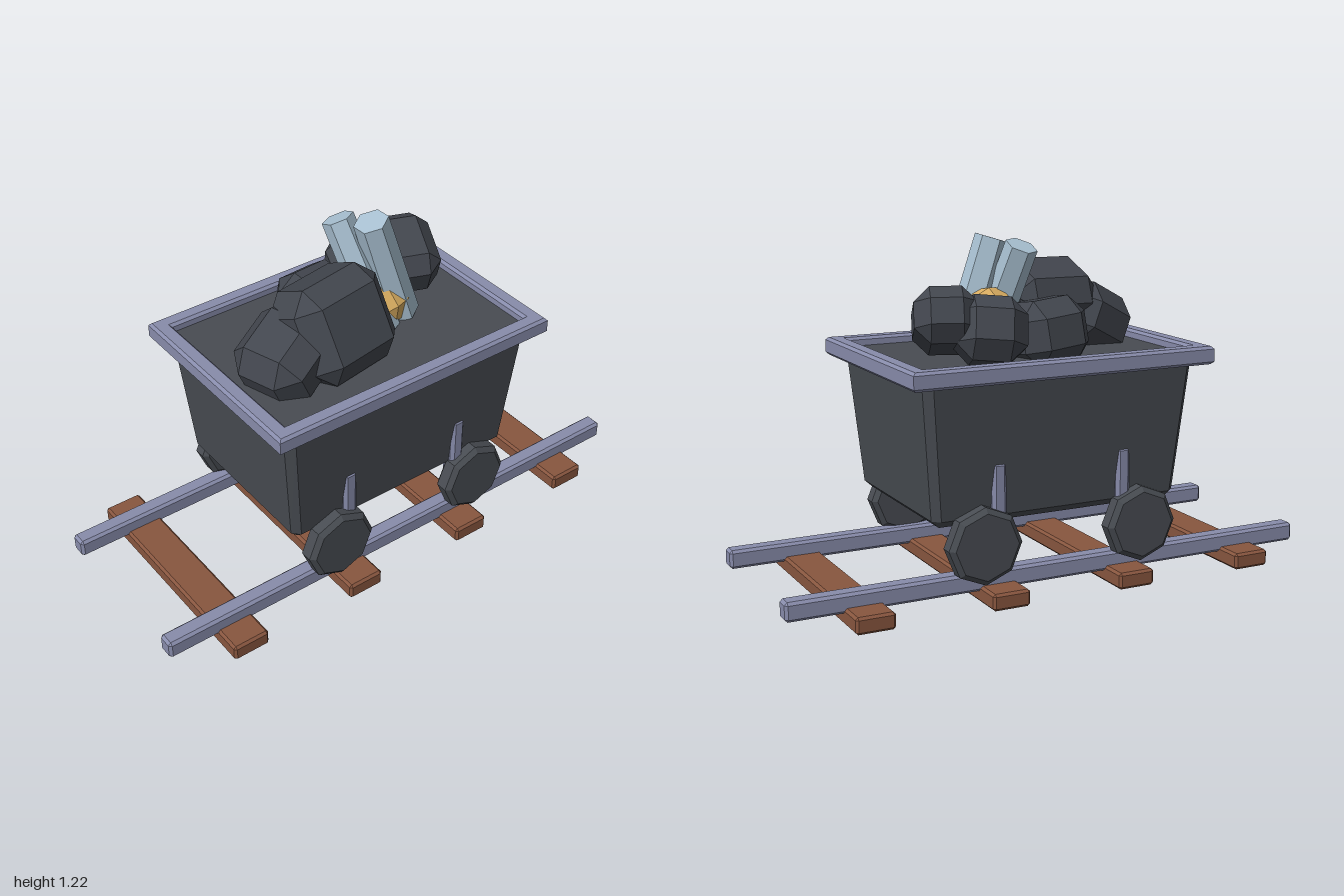
import * as THREE from 'three';
import { ConvexGeometry } from 'three/addons/geometries/ConvexGeometry.js';

const mat = (name, color) => {
  const m = new THREE.MeshStandardMaterial({ color });
  m.name = name;
  return m;
};

// Box with cut edges and corners; the optional shape rule moves each corner point
function chamferBox(w, h, d, c, rule) {
  const points = [];
  for (const sx of [-1, 1]) for (const sy of [-1, 1]) for (const sz of [-1, 1]) {
    const x = w / 2, y = h / 2, z = d / 2;
    points.push(
      new THREE.Vector3(sx * x, sy * (y - c), sz * (z - c)),
      new THREE.Vector3(sx * (x - c), sy * y, sz * (z - c)),
      new THREE.Vector3(sx * (x - c), sy * (y - c), sz * z));
  }
  if (rule) points.forEach(rule);
  return new ConvexGeometry(points);
}

export function createModel() {
  const model = new THREE.Group();
  model.name = 'mineCart';
  const wood = mat('wood', 0x88563f);
  const steel = mat('steel', 0x888cab);
  const iron = mat('darkIron', 0x484c52);
  const coal = mat('coal', 0x42464e);
  const crystal = mat('crystal', 0xa9c1d2);
  const gold = mat('gold', 0xd8ac60);

  const add = (name, geometry, material, pos, rot = [0, 0, 0]) => {
    const mesh = new THREE.Mesh(geometry, material);
    mesh.name = name;
    mesh.position.set(...pos);
    mesh.rotation.set(rot[0], rot[1], rot[2], 'YXZ');
    model.add(mesh);
    return mesh;
  };

  // Track
  for (const x of [-0.74, -0.25, 0.24, 0.73])
    add('sleeper', chamferBox(0.14, 0.06, 0.89, 0.009), wood, [x, 0.03, 0]);
  for (const s of [-1, 1])
    add('rail', chamferBox(2, 0.068, 0.066, 0.01), steel, [0, 0.075, s * 0.307]);

  // Tapered tub
  const tub = chamferBox(0.944, 0.51, 0.656, 0.026, (p) => {
    const t = (p.y + 0.255) / 0.51;
    p.x *= 1 + 0.1 * t;
    p.z *= 1 + 0.135 * t;
  });
  add('tub', tub, iron, [0, 0.53, 0]);
  add('loadBed', new THREE.BoxGeometry(1.05, 0.04, 0.72), iron, [0, 0.778, 0]);

  // Rim frame
  const rect = (Type, x, z) => new Type([[-x, -z], [x, -z], [x, z], [-x, z]].map((p) => new THREE.Vector2(...p)));
  const frame = rect(THREE.Shape, 0.565, 0.4);
  frame.holes.push(rect(THREE.Path, 0.523, 0.358));
  const rim = new THREE.ExtrudeGeometry(frame, {
    depth: 0.045, bevelEnabled: true, bevelThickness: 0.01, bevelSize: 0.01, bevelSegments: 1,
  });
  rim.rotateX(-Math.PI / 2);
  add('rim', rim, steel, [0, 0.775, 0]);

  // Eight-sided wheels with bevelled edges, and their brackets
  const profile = [[0, -0.038], [0.118, -0.038], [0.137, -0.022], [0.137, 0.022], [0.118, 0.038], [0, 0.038]];
  const wheel = new THREE.LatheGeometry(profile.map((p) => new THREE.Vector2(...p)), 8).toNonIndexed();
  wheel.rotateX(Math.PI / 2);
  wheel.computeVertexNormals();
  for (const s of [-1, 1]) {
    for (const x of [-0.308, 0.303]) add('wheel', wheel, iron, [x, 0.208, s * 0.348]);
    for (const x of [-0.247, 0.238])
      add('wheelBracket', chamferBox(0.055, 0.25, 0.06, 0.012), steel, [x, 0.362, s * 0.32]);
  }

  // Coal lumps: size, chamfer, position, rotation
  const lumps = [
    [[0.38, 0.35, 0.28], 0.07, [-0.14, 0.93, 0.1], [-0.46, 0.13, 0.03]],
    [[0.31, 0.24, 0.29], 0.07, [-0.33, 0.88, 0.09], [0, 0.3, 0.45]],
    [[0.28, 0.24, 0.24], 0.065, [-0.06, 0.875, -0.115], [0.15, 0.15, -0.08]],
    [[0.22, 0.2, 0.28], 0.055, [0.325, 0.94, -0.1], [0.4, -0.35, 0]],
    [[0.25, 0.23, 0.2], 0.06, [0.2, 0.91, -0.195], [0.4, -0.25, 0.1]],
  ];
  for (const [size, c, pos, rot] of lumps) add('coalLump', chamferBox(...size, c), coal, pos, rot);

  // Gold nugget
  add('goldNugget', chamferBox(0.17, 0.28, 0.16, 0.055), gold, [0.145, 0.91, -0.02], [-0.6, 0.2, 0.1]);

  // Hexagonal crystals, each running from its base to its tip
  const up = new THREE.Vector3(0, 1, 0);
  const shards = [
    [[0.215, 0.8, 0.025], [0.092, 1.205, 0.005], 0.068],
    [[0.11, 0.78, 0.06], [0.035, 1.185, -0.11], 0.063],
  ];
  for (const [from, to, r] of shards) {
    const a = new THREE.Vector3(...from), b = new THREE.Vector3(...to);
    const axis = b.clone().sub(a);
    const shard = new THREE.CylinderGeometry(r * 0.93, r, axis.length(), 6).toNonIndexed();
    shard.computeVertexNormals();
    const mesh = add('crystalShard', shard, crystal, a.clone().add(b).multiplyScalar(0.5).toArray());
    mesh.quaternion.setFromUnitVectors(up, axis.normalize());
  }
  return model;
}
